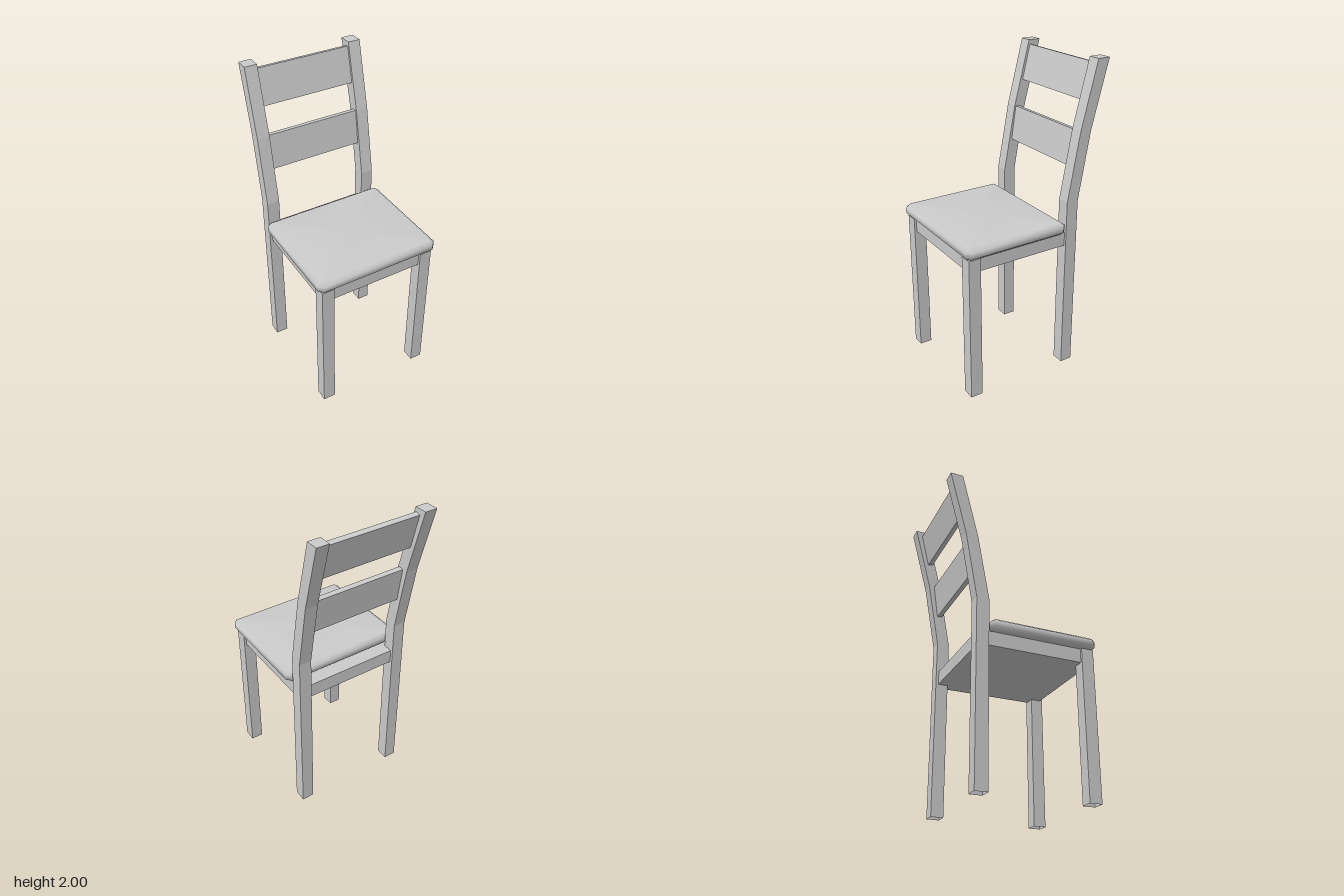
import * as THREE from 'three';

const material = new THREE.MeshStandardMaterial({ color: 0xcccccc, side: THREE.DoubleSide });

// Skins a stack of rings (each a loop of [x, y, z], counterclockwise from above).
function loft(rings, { capBottom = true, smooth = false } = {}) {
  const n = rings[0].length;
  const points = rings.flat();
  const index = [];
  for (let r = 0; r < rings.length - 1; r++) {
    for (let k = 0; k < n; k++) {
      const a = r * n + k, b = r * n + (k + 1) % n;
      index.push(a, b, b + n, a, b + n, a + n);
    }
  }
  const cap = (ring, start, up) => {
    const centre = [0, 1, 2].map(i => ring.reduce((sum, p) => sum + p[i], 0) / n);
    const c = points.push(centre) - 1;
    for (let k = 0; k < n; k++) {
      const a = start + k, b = start + (k + 1) % n;
      index.push(c, ...(up ? [a, b] : [b, a]));
    }
  };
  cap(rings.at(-1), (rings.length - 1) * n, true);
  if (capBottom) cap(rings[0], 0, false);

  let geometry = new THREE.BufferGeometry();
  geometry.setAttribute('position', new THREE.Float32BufferAttribute(points.flat(), 3));
  geometry.setIndex(index);
  if (!smooth) geometry = geometry.toNonIndexed();
  geometry.computeVertexNormals();
  return geometry;
}

// Rectangular ring between x0..x1; front and back edges are [y, z].
const rectRing = (x0, x1, [yf, zf], [yb, zb]) =>
  [[x1, yf, zf], [x1, yb, zb], [x0, yb, zb], [x0, yf, zf]];

// Rectangle with cut corners, at height y.
function cutRing(y, hx, zFront, zBack, cut) {
  return [
    [hx, zFront - cut], [hx, zBack + cut], [hx - cut, zBack], [cut - hx, zBack],
    [-hx, zBack + cut], [-hx, zFront - cut], [cut - hx, zFront], [hx - cut, zFront],
  ].map(([x, z]) => [x, y, z]);
}

export function createModel() {
  const chair = new THREE.Group();
  chair.name = 'chair';
  const add = (name, geometry) => {
    const mesh = new THREE.Mesh(geometry, material);
    mesh.name = name;
    chair.add(mesh);
    return mesh;
  };

  // Legs, hollow at the foot; the rear ones bend back to carry the backrest
  const frontLeg = [[0, 0.47, 0.39], [0.95, 0.47, 0.39]];
  const rearPost = [[0, -0.222, -0.302], [1.15, -0.222, -0.302], [1.58, -0.3, -0.378], [2, -0.407, -0.489]];
  for (const [side, x0, x1] of [['left', 0.305, 0.385], ['right', -0.385, -0.305]]) {
    for (const [part, profile] of [['FrontLeg', frontLeg], ['RearPost', rearPost]]) {
      const rings = profile.map(([y, zf, zb]) => rectRing(x0, x1, [y, zf], [y, zb]));
      add(side + part, loft(rings, { capBottom: false }));
    }
  }

  // Seat frame, set slightly in from the legs
  const frame = add('seatFrame', new THREE.BoxGeometry(0.74, 0.09, 0.74));
  frame.position.set(0, 0.905, 0.085);

  // Seat cushion with softened edges
  const cushion = [[0.95, 0.028], [0.972, 0], [1.008, 0], [1.03, 0.028]].map(([y, inset]) =>
    cutRing(y, 0.409 - inset, 0.487 - inset, -0.211 + inset, inset ? 0.006 : 0.028));
  add('seatCushion', loft(cushion, { smooth: true }));

  // Backrest slats, leaning with the posts: front bottom and front top edges as [y, z]
  const slats = { lowerSlat: [[1.357, -0.278], [1.58, -0.309]], upperSlat: [[1.75, -0.36], [1.972, -0.414]] };
  for (const [name, [bottom, top]] of Object.entries(slats)) {
    const lean = Math.atan2(bottom[1] - top[1], top[0] - bottom[0]);
    const back = ([y, z]) => [y - 0.033 * Math.sin(lean), z - 0.033 * Math.cos(lean)];
    add(name, loft([bottom, top].map(edge => rectRing(-0.31, 0.31, edge, back(edge)))));
  }

  return chair;
}
